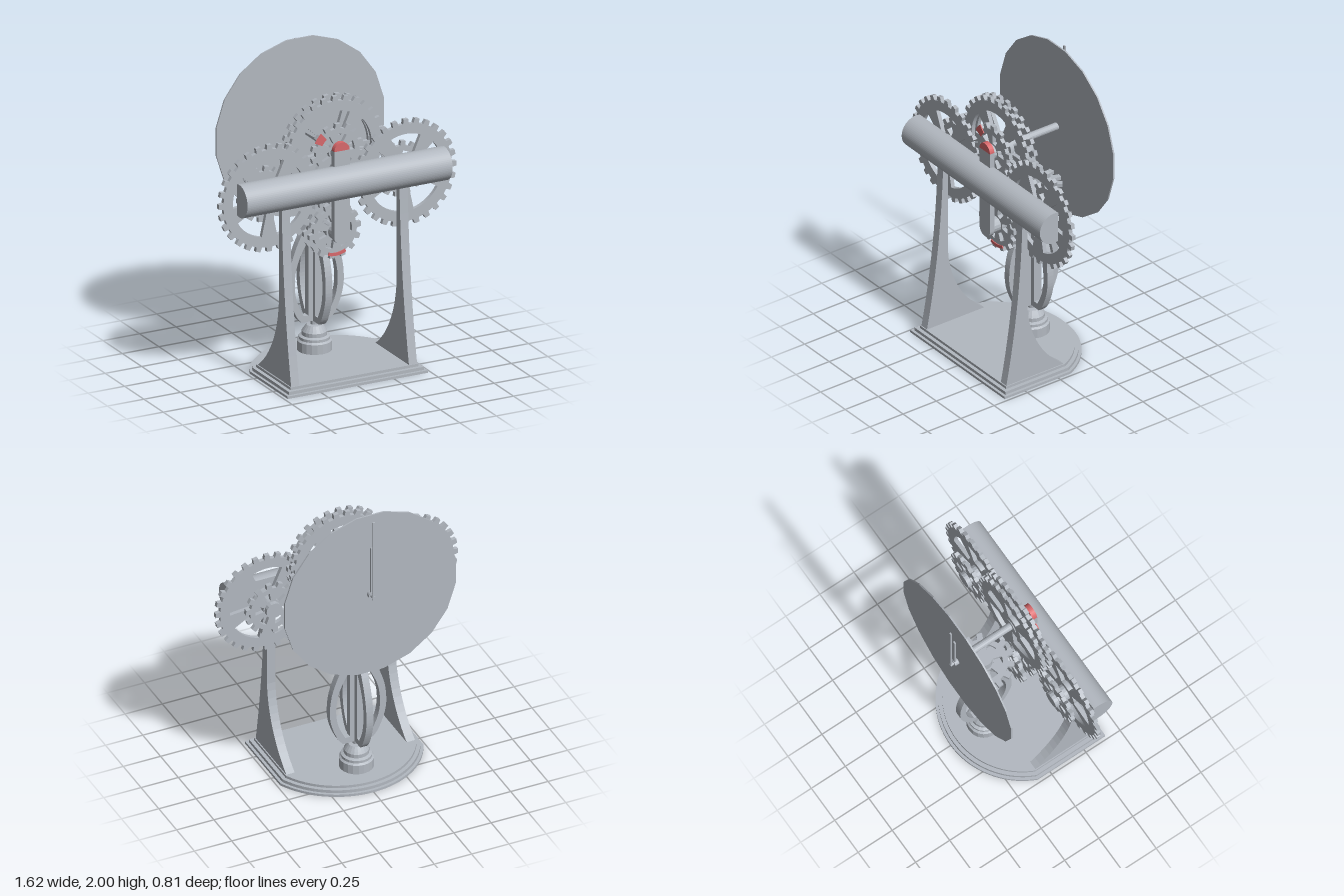
import * as THREE from 'three';

const metal = new THREE.MeshStandardMaterial({ color: 0xb2b8c0 });
metal.name = 'grey metal';
const red = new THREE.MeshStandardMaterial({ color: 0xd8696c });
red.name = 'red accent';

export function createModel() {
  const root = new THREE.Group();

  const add = (name, geo, mat = metal, parent = root) => {
    const m = new THREE.Mesh(geo, mat);
    m.name = name;
    parent.add(m);
    return m;
  };
  const faceted = (geo) => {
    const g = geo.toNonIndexed();
    g.computeVertexNormals();
    return g;
  };
  const extrude = (shape, depth, curveSegments = 12) =>
    new THREE.ExtrudeGeometry(shape, { depth, bevelEnabled: false, curveSegments });
  // Profile drawn in (z, y), centred on x
  const sideways = (shape, depth, seg) =>
    extrude(shape, depth, seg).translate(0, 0, -depth / 2).rotateY(-Math.PI / 2);
  // Round rod running along z
  const rod = (name, x, y, z0, z1, r, mat = metal) =>
    add(name, faceted(new THREE.CylinderGeometry(r, r, z1 - z0, 16)
      .rotateX(Math.PI / 2).translate(x, y, (z0 + z1) / 2)), mat);

  // Toothed wheel with wedge windows between its spokes, centred on z
  function gearGeometry({ teeth, outer, rootR, hub, rim, spokes, open }, depth = 0.026) {
    const at = (r, a) => new THREE.Vector2(r * Math.cos(a), r * Math.sin(a));
    const pts = [];
    const pitch = (Math.PI * 2) / teeth;
    for (let i = 0; i < teeth; i++) {
      const a = i * pitch;
      pts.push(at(rootR, a - pitch * 0.28), at(outer, a - pitch * 0.2),
        at(outer, a + pitch * 0.2), at(rootR, a + pitch * 0.28));
    }
    const shape = new THREE.Shape(pts);
    const step = (Math.PI * 2) / spokes;
    for (let i = 0; i < spokes; i++) {
      const mid = -Math.PI / 2 + (i + 0.5) * step;
      const a0 = mid - step * open / 2, a1 = mid + step * open / 2;
      const hole = new THREE.Path();
      hole.absarc(0, 0, rim, a0, a1, false);
      hole.absarc(0, 0, hub, a1, a0, true);
      hole.closePath();
      shape.holes.push(hole);
    }
    return extrude(shape, depth, 6).translate(0, 0, -depth / 2);
  }
  const large = { teeth: 28, outer: 0.345, rootR: 0.315, hub: 0.095, rim: 0.25, spokes: 5, open: 0.66 };
  const small = { teeth: 14, outer: 0.178, rootR: 0.148, hub: 0.06, rim: 0.115, spokes: 6, open: 0.5 };
  const gear = (name, kind, x, y, z, turn = 0) => {
    const m = add(name, gearGeometry(kind));
    m.position.set(x, y, z);
    m.rotation.z = turn;
    return m;
  };

  // Stepped base with a straight front and a bowed back
  [[0, 0, 0.016], [0.018, 0.016, 0.036], [0.042, 0.036, 0.053]].forEach(([inset, y0, y1]) => {
    const w = 0.48 - inset, r = 0.527 - inset, cy = -0.127;
    const a = Math.acos(w / r);
    const s = new THREE.Shape();
    s.moveTo(-w, -0.405 + inset);
    s.lineTo(w, -0.405 + inset);
    s.absarc(0, cy, r, a, Math.PI - a, false);
    s.closePath();
    add('baseStep', extrude(s, y1 - y0, 16).rotateX(-Math.PI / 2).translate(0, y0, 0));
  });

  // Pair of flared uprights
  const post = new THREE.Shape();
  post.moveTo(0.357, 0.05);
  post.quadraticCurveTo(0.25, 0.6, 0.235, 1.18);
  post.lineTo(0.198, 1.18);
  post.lineTo(0.198, 0.55);
  post.bezierCurveTo(0.185, 0.34, 0.08, 0.16, -0.078, 0.05);
  post.closePath();
  for (const s of [-1, 1]) add('upright', sideways(post, 0.056)).position.x = s * 0.403;

  // Cross beam: rounded front, flat back
  const beam = new THREE.Shape();
  const cut = Math.acos(-0.032 / 0.105);
  beam.absarc(0.2, 1.25, 0.105, -cut, cut, false);
  beam.closePath();
  add('crossBeam', sideways(beam, 1.404, 18));

  // Vertical bearing bar with a red upper end
  const bar = new THREE.Shape();
  bar.moveTo(0.053, 1.452);
  bar.lineTo(-0.053, 1.452);
  bar.lineTo(-0.053, 0.9);
  bar.absarc(0, 0.9, 0.053, Math.PI, Math.PI * 2, false);
  bar.closePath();
  add('bearingBar', extrude(bar, 0.033).translate(0, 0, 0.167));
  const cap = new THREE.Shape();
  cap.absarc(0, 1.452, 0.053, 0, Math.PI, false);
  cap.closePath();
  add('bearingBarCap', extrude(cap, 0.033, 8).translate(0, 0, 0.167), red);

  // Upper gear train and its axle
  const topY = 1.43, sideX = 0.467, sideY = 1.21, lowY = 0.905;
  gear('upperGearFront', large, 0, topY, 0.1);
  gear('upperGearBack', large, 0, topY, 0.058, 0.11);
  gear('upperPinion', small, 0, topY, 0.132, 0.22);
  rod('upperHub', 0, topY, 0.04, 0.167, 0.05);
  rod('dialShaft', 0, topY, -0.38, 0.05, 0.024);
  rod('minuteShaft', 0, topY, -0.406, -0.37, 0.012);

  // Side gear trains
  for (const s of [-1, 1]) {
    gear('sideGear', large, s * sideX, sideY, 0.132);
    gear('sidePinion', small, s * sideX, sideY, 0.058, 0.1);
    rod('sideAxle', s * sideX, sideY, 0.016, 0.17, 0.053);
  }

  // Lower gears driven through the upright shaft
  gear('lowerGearFront', small, 0, lowY, 0.1, 0.1);
  gear('lowerGearBack', small, 0, lowY, 0.027, 0.1);
  rod('lowerAxle', 0, lowY, -0.015, 0.17, 0.05);

  // Red marks on the gears
  const mark = (name, x, y, z, r0, r1, a0, a1) => {
    const s = new THREE.Shape();
    s.absarc(0, 0, r1, a0, a1, false);
    s.absarc(0, 0, r0, a1, a0, true);
    s.closePath();
    add(name, extrude(s, 0.006, 8).translate(x, y, z), red);
  };
  mark('upperGearMark', 0, topY, 0.1445, 0.12, 0.176, 2.28, 2.68);
  mark('lowerGearMark', 0, lowY, 0.1125, 0.14, 0.16, -1.9, -1.1);

  // Dial and hands at the back
  add('dial', faceted(new THREE.CylinderGeometry(0.58, 0.58, 0.01, 20)
    .rotateY(Math.PI / 20).rotateX(Math.PI / 2).translate(0, 1.428, -0.346)));
  const hand = (name, z, top, w) =>
    add(name, new THREE.BoxGeometry(w, top - 1.41, 0.01).translate(0, (top + 1.41) / 2, z));
  hand('hourHand', -0.371, 1.775, 0.018);
  hand('minuteHand', -0.4, 1.98, 0.014);

  // Upright shaft with its caged fins and stepped foot
  const spindle = new THREE.Group();
  spindle.name = 'spindle';
  spindle.position.z = -0.156;
  root.add(spindle);
  const foot = [[0, 0.05], [0.108, 0.05], [0.108, 0.115], [0.096, 0.125], [0.096, 0.142], [0.078, 0.15],
    [0.078, 0.175], [0.068, 0.19], [0.05, 0.215], [0, 0.22]].map((p) => new THREE.Vector2(...p));
  add('spindleFoot', faceted(new THREE.LatheGeometry(foot, 20)), metal, spindle);
  const post2 = (name, r, y0, y1) => add(name,
    faceted(new THREE.CylinderGeometry(r, r, y1 - y0, 16).translate(0, (y0 + y1) / 2, 0)), metal, spindle);
  post2('spindleShaft', 0.025, 0.21, 1.12);
  post2('spindleCap', 0.052, 1.1, 1.17);

  const fin = new THREE.Shape();
  fin.moveTo(0, 0.245);
  fin.lineTo(0.1, 0.245);
  fin.splineThru([[0.135, 0.29], [0.175, 0.39], [0.189, 0.49], [0.175, 0.62], [0.125, 0.76],
    [0.06, 0.88], [0.025, 0.955]].map((p) => new THREE.Vector2(...p)));
  fin.lineTo(0, 0.955);
  fin.closePath();
  const gap = new THREE.Path();
  gap.moveTo(0.053, 0.285);
  gap.lineTo(0.085, 0.285);
  gap.splineThru([[0.13, 0.38], [0.147, 0.49], [0.132, 0.61], [0.09, 0.71], [0.053, 0.77]]
    .map((p) => new THREE.Vector2(...p)));
  gap.closePath();
  fin.holes.push(gap);
  const finGeo = extrude(fin, 0.046, 4).translate(0, 0, -0.023);
  for (let i = 0; i < 4; i++) add('cageFin', finGeo, metal, spindle).rotation.y = i * Math.PI / 2;

  // Horizontal gear meeting the lower back gear
  add('crownGear', gearGeometry({ ...small, outer: 0.186 }, 0.022)
    .rotateX(-Math.PI / 2).translate(0, 1.09, 0), metal, spindle);

  return root;
}
